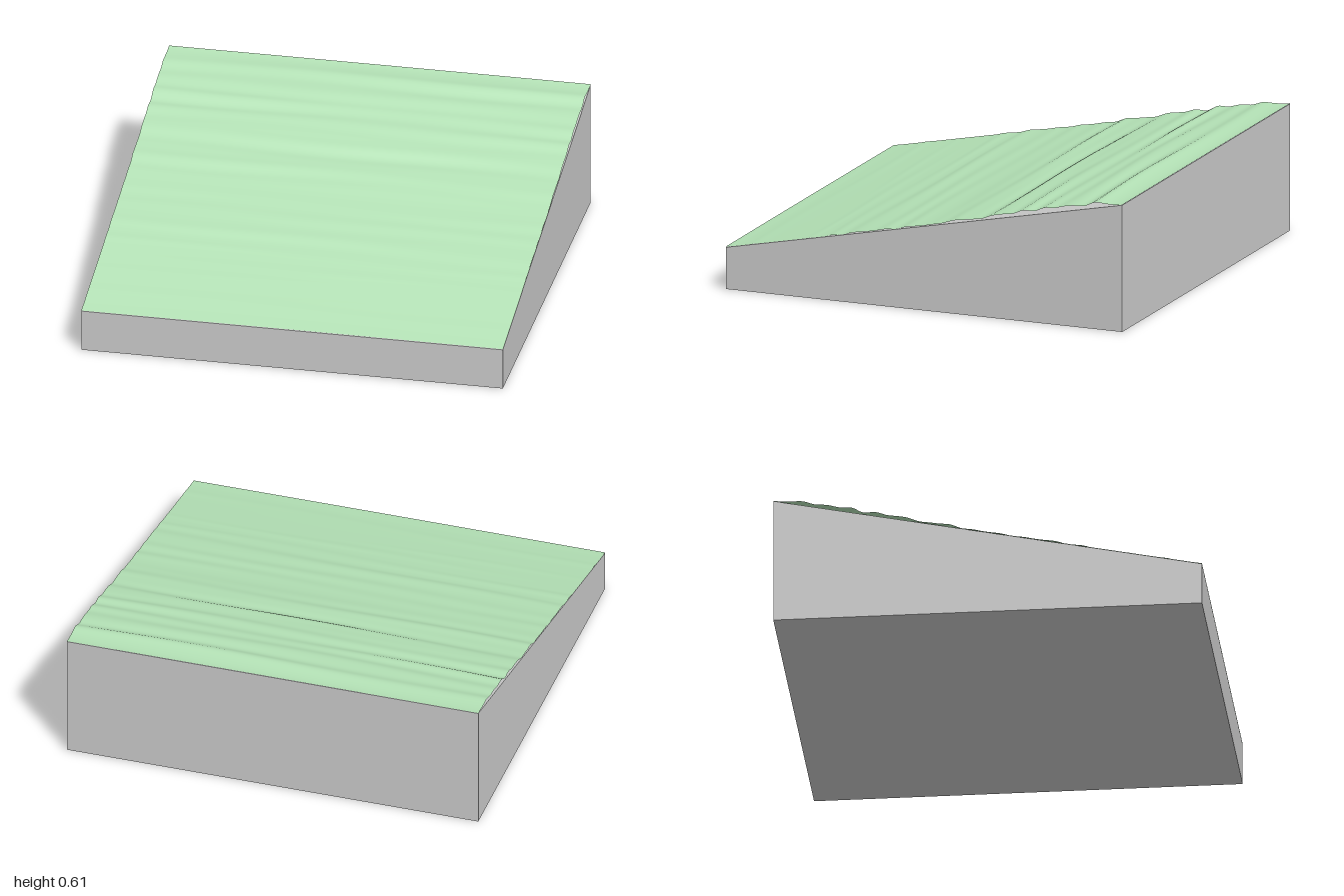
import * as THREE from 'three';

// Straight slope from the low front (z = 1) to the high back (z = -1)
const slope = (z) => 0.2 + 0.2045 * (1 - z);

// General swelling of the ground above the slope: [z, height]
const SWELL = [[-1, 0.003], [-0.85, 0.024], [-0.75, 0.026], [-0.6, 0.024], [-0.45, 0.024], [-0.3, 0.012],
  [-0.12, 0.011], [0, 0.004], [0.3, 0.006], [0.5, 0.002], [0.9, 0.002], [1, 0.004]];

// Steep steps running across the slope: [z at left edge, z at right edge, strength]
const STEPS = [[-0.84, -0.83, 0.016], [-0.71, -0.68, 0.009], [-0.61, -0.59, 0.018], [-0.5, -0.47, 0.012],
  [-0.34, -0.31, 0.016], [-0.15, -0.13, 0.013], [0.08, 0.12, 0.006], [0.2, 0.23, 0.005], [0.34, 0.38, 0.008],
  [0.47, 0.5, 0.007], [0.58, 0.6, 0.005], [0.69, 0.66, 0.004], [0.86, 0.9, 0.004]];

function swell(z) {
  const i = Math.max(1, SWELL.findIndex((p) => z <= p[0] + 1e-6));
  const [a, b] = [SWELL[i - 1], SWELL[i]];
  return THREE.MathUtils.lerp(a[1], b[1], THREE.MathUtils.smoothstep(z, a[0], b[0]));
}

function groundHeight(x, z) {
  let h = swell(z) * (0.85 + 0.25 * Math.cos(1.7 * x - 0.3));
  STEPS.forEach(([left, right, strength], i) => {
    // each band drifts forward and fades in and out along its length
    const centre = THREE.MathUtils.lerp(left, right, (x + 1) / 2) + 0.008 * Math.sin(4 * x + i * 2.1);
    const d = (z - centre) / 0.045;
    h -= strength * (0.8 + 0.35 * Math.sin(2.5 * x + i * 1.9)) * d * Math.exp(-d * d);
  });
  return Math.min(slope(z) + Math.max(h, 0.002), 0.618);
}

// Move the vertices of a geometry by a height rule
function reshape(geometry, rule) {
  const p = geometry.attributes.position;
  for (let i = 0; i < p.count; i++) p.setY(i, rule(p.getX(i), p.getY(i), p.getZ(i)));
  geometry.computeVertexNormals();
  return geometry;
}

export function createModel() {
  const group = new THREE.Group();
  group.name = 'slopingGround';

  // Solid wedge
  const wedge = reshape(new THREE.BoxGeometry(2, 1, 2), (x, y, z) => (y > 0 ? slope(z) : 0));
  const base = new THREE.Mesh(wedge, new THREE.MeshStandardMaterial({ color: 0xcccccc }));
  base.name = 'wedgeBase';
  group.add(base);

  // Thin terraced ground sheet
  const sheet = new THREE.PlaneGeometry(2, 2, 60, 140).rotateX(-Math.PI / 2);
  reshape(sheet, (x, y, z) => groundHeight(x, z));
  const ground = new THREE.Mesh(sheet, new THREE.MeshStandardMaterial({ color: 0xb5e3b7, side: THREE.DoubleSide }));
  ground.name = 'groundSurface';
  group.add(ground);

  return group;
}
